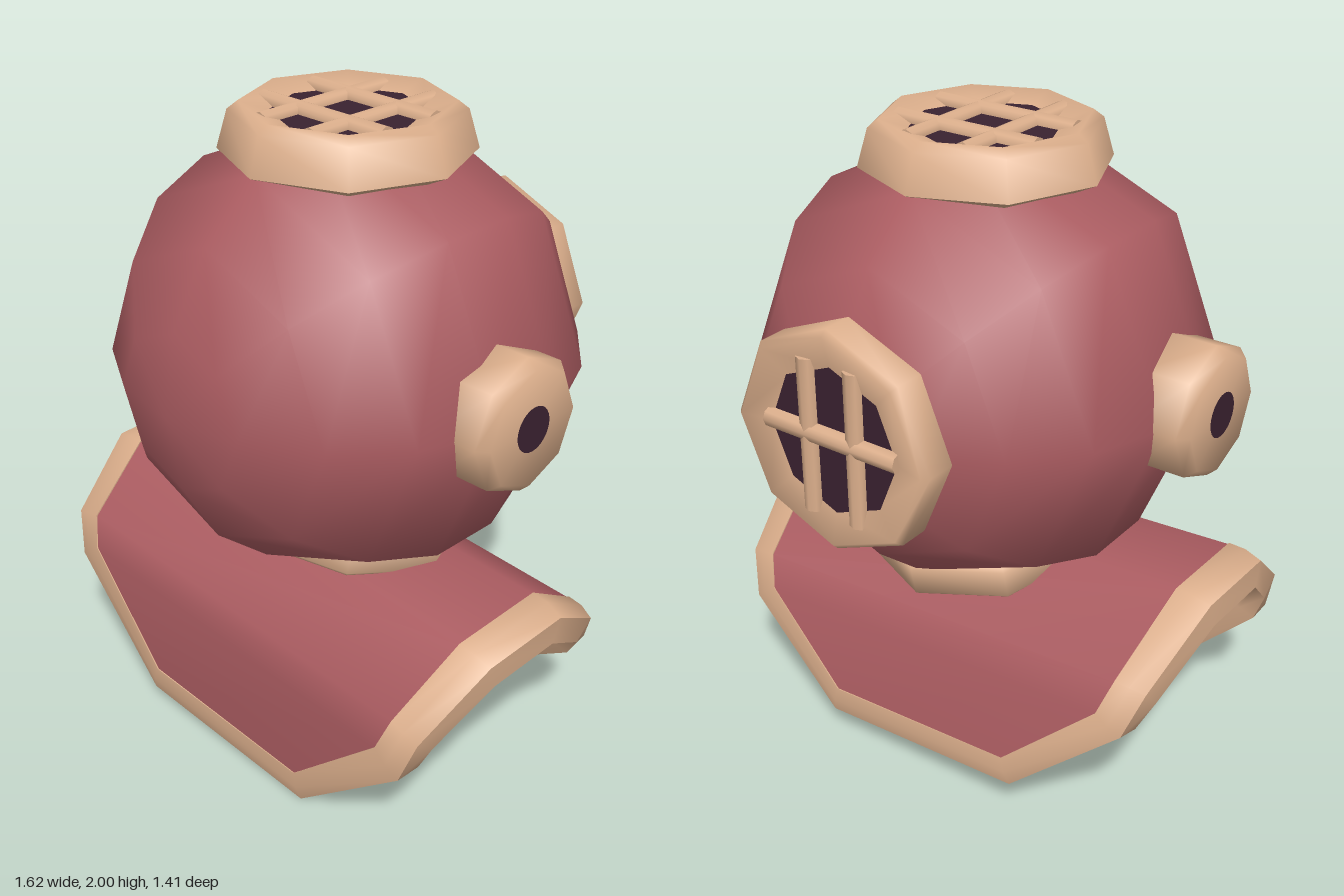
import * as THREE from 'three';
import { toCreasedNormals } from 'three/addons/utils/BufferGeometryUtils.js';

const paint = (name, color) => {
  const m = new THREE.MeshStandardMaterial({ color });
  m.name = name;
  return m;
};

export function createModel() {
  const red = paint('dusty red', 0xab5c61);
  const tan = paint('pale copper', 0xdcaf8c);
  const dark = paint('dark glass', 0x3a2230);
  const model = new THREE.Group();

  const add = (parent, name, geometry, material) => {
    const mesh = new THREE.Mesh(geometry, material);
    mesh.name = name;
    parent.add(mesh);
    return mesh;
  };
  const group = (name, x, y, z) => {
    const g = new THREE.Group();
    g.name = name;
    g.position.set(x, y, z);
    model.add(g);
    return g;
  };
  // Eight-sided turned part, profile runs upward on the outside
  const turned = (profile) => toCreasedNormals(
    new THREE.LatheGeometry(profile.map(([r, y]) => new THREE.Vector2(r, y)), 8), 1.1);
  // Skin over a row of equal cross-sections; an open row of four-cornered ones gets end caps
  const skin = (rings, closed) => {
    const n = rings[0].length, last = (rings.length - 1) * n, index = [];
    for (let i = 0; i < rings.length - (closed ? 0 : 1); i++) {
      for (let j = 0; j < n; j++) {
        const k = (j + 1) % n, i2 = (i + 1) % rings.length;
        const a = i * n + j, b = i * n + k, c = i2 * n + k, d = i2 * n + j;
        index.push(a, b, c, a, c, d);
      }
    }
    if (!closed) index.push(0, 2, 1, 0, 3, 2, last, last + 1, last + 2, last, last + 2, last + 3);
    const g = new THREE.BufferGeometry();
    g.setAttribute('position', new THREE.Float32BufferAttribute(rings.flat(2), 3));
    g.setIndex(index);
    return toCreasedNormals(g, 0.9);
  };

  // Helmet ball with its poles at front and back
  const ball = new THREE.SphereGeometry(0.685, 8, 9).rotateX(Math.PI / 2);
  add(model, 'helmetBall', ball, red).position.set(0.034, 1.28, 0.016);

  // Glass disc and guard bars, facing local +y
  const glass = (parent, r, y) => {
    add(parent, 'glass', new THREE.CircleGeometry(r, 32).rotateX(-Math.PI / 2), dark).position.y = y;
  };
  const bar = (parent, length, alongX, offset, y) => {
    const g = new THREE.CylinderGeometry(0.03, 0.03, length, 8);
    if (alongX) g.rotateZ(Math.PI / 2); else g.rotateX(Math.PI / 2);
    add(parent, 'guardBar', toCreasedNormals(g, 0.9), tan)
      .position.set(alongX ? 0 : offset, y, alongX ? offset : 0);
  };

  // Top window
  const top = group('topWindow', 0.034, 1.82, 0.015);
  add(top, 'topRim', turned([[0.29, 0.01], [0.362, 0.045], [0.33, 0.155], [0.3, 0.178], [0.215, 0.15], [0, 0.14]]), tan);
  glass(top, 0.22, 0.151);
  for (const o of [-0.095, 0.095]) {
    bar(top, 0.47, true, o, 0.15);
    bar(top, 0.475, false, o, 0.147);
  }

  // Back window
  const back = group('backWindow', 0.034, 1.28, -0.56);
  back.rotation.x = -Math.PI / 2;
  add(back, 'backRim', turned([[0.05, 0.03], [0.33, 0.03], [0.33, 0.122], [0.312, 0.14], [0.215, 0.115], [0, 0.105]]), tan);
  glass(back, 0.22, 0.116);
  for (const o of [-0.08, 0.08]) bar(back, 0.46, false, o, 0.112);
  bar(back, 0.45, true, 0.01, 0.115);

  // Side ports
  for (const s of [1, -1]) {
    const port = group(s > 0 ? 'leftPort' : 'rightPort', 0.018 + s * 0.533, 1.282, 0.06);
    port.rotation.z = -s * Math.PI / 2;
    add(port, 'portBody', turned([[0.17, 0], [0.2, 0.03], [0.2, 0.18], [0.172, 0.21], [0, 0.21]]), tan);
    glass(port, 0.066, 0.212);
  }

  // Neck ring, tipped up at the front
  const neck = add(model, 'neckRing', turned([[0, 0], [0.365, 0], [0.375, 0.01], [0.375, 0.1], [0.365, 0.11], [0, 0.11]]), tan);
  neck.position.set(0.04, 0.67, 0.03);
  neck.rotation.set(-0.19, 0, -0.055);

  // Shoulder collar: stations from front hem over the top to back hem, [z, y, half width]
  const outer = [[0.46, 0.022, 0.345], [0.455, 0.36, 0.715], [0.44, 0.475, 0.755], [0.24, 0.645, 0.81],
    [-0.04, 0.655, 0.81], [-0.28, 0.49, 0.75], [-0.325, 0.38, 0.7], [-0.385, 0.1, 0.345]];
  const inner = [[0.45, 0.115, 0.32], [0.445, 0.43, 0.63], [0.43, 0.495, 0.66], [0.24, 0.65, 0.7],
    [-0.04, 0.66, 0.7], [-0.28, 0.495, 0.655], [-0.31, 0.43, 0.62], [-0.37, 0.185, 0.32]];
  const normals = outer.map((_, i) => {
    const a = outer[Math.max(i - 1, 0)], b = outer[Math.min(i + 1, outer.length - 1)];
    const l = Math.hypot(b[0] - a[0], b[1] - a[1]);
    return [(b[1] - a[1]) / l, (a[0] - b[0]) / l];
  });
  // Point at station i, side s, t from inner to outer edge, raised by h
  const point = (i, s, t, h) => {
    const [z, y, w] = inner[i].map((v, k) => v + (outer[i][k] - v) * t);
    return [s * w, y + normals[i][1] * h, z + normals[i][0] * h];
  };
  const tilt = (g) => g.translate(0, -0.4, 0).rotateZ(-0.058).translate(-0.005, 0.4, 0);

  const panel = outer.map((_, i) => [
    point(i, -1, 0.1, 0.058), point(i, 1, 0.1, 0.058), point(i, 1, 0, -0.07), point(i, -1, 0, -0.07)]);
  add(model, 'collarPanel', tilt(skin(panel, false)), red);

  const edge = (i, s) => [[0, 0.062], [0.5, 0.06], [1, 0.042], [1, -0.042], [0.5, -0.054], [0, -0.056]]
    .map(([t, h]) => point(i, s, t, h));
  const order = outer.map((_, i) => i);
  const rim = [...order.map((i) => edge(i, 1)), ...order.reverse().map((i) => edge(i, -1))];
  add(model, 'collarRim', tilt(skin(rim, true)), tan);

  return model;
}
